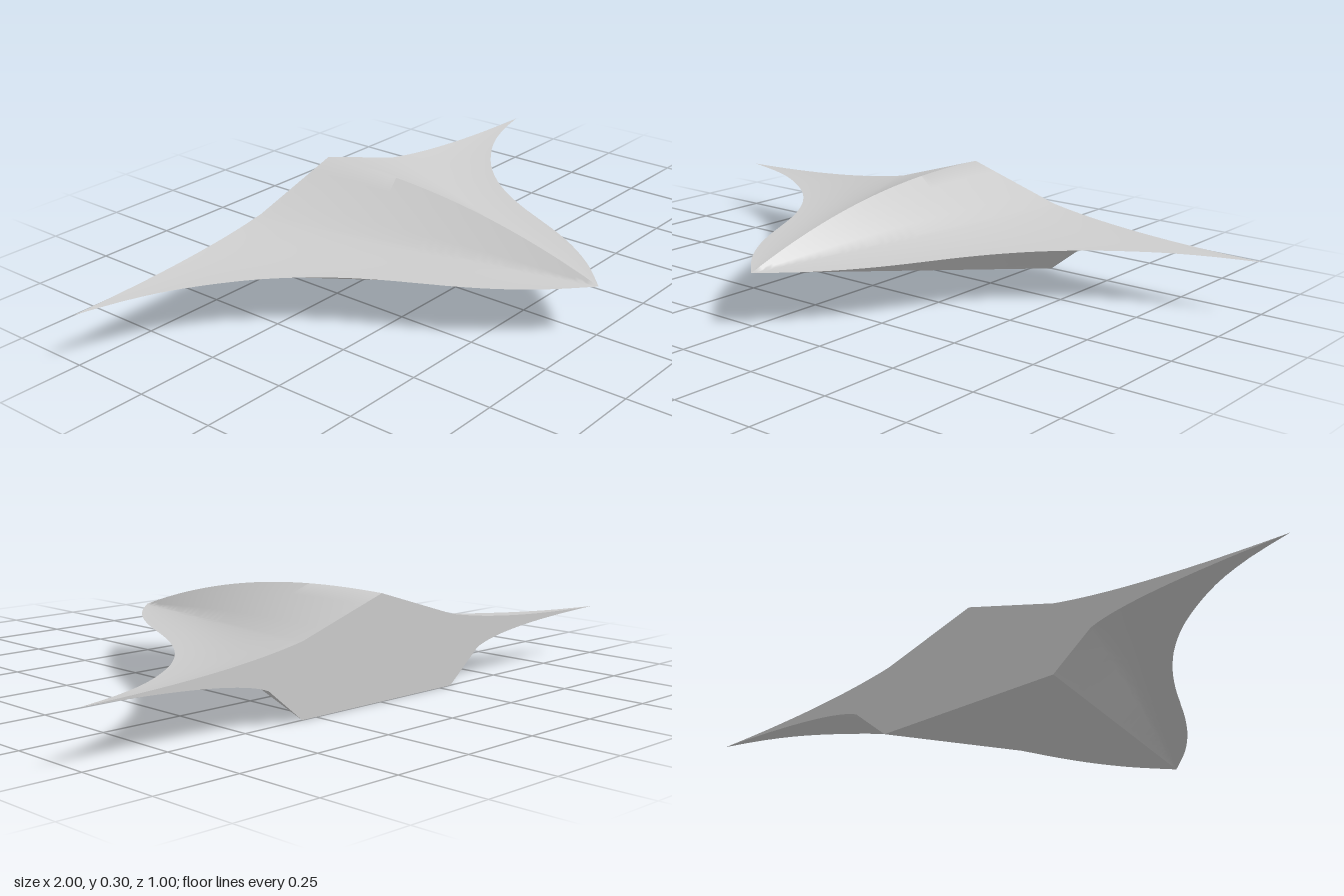
import * as THREE from 'three';
import { toCreasedNormals } from 'three/addons/utils/BufferGeometryUtils.js';

const NOSE_Z = 0.5, MID_Y = 0.15, ROWS = 64, CURVE = 16;

// Half width of the leading edge against distance t from the nose (0) to the tail (1)
const edgeCurve = new THREE.SplineCurve([
  [0, 0], [0.1, 0.1], [0.2, 0.177], [0.3, 0.237], [0.4, 0.287], [0.5, 0.337],
  [0.6, 0.397], [0.7, 0.474], [0.8, 0.578], [0.9, 0.725], [0.96, 0.86], [1, 1],
].map(([t, w]) => new THREE.Vector2(t, w)));
const edgePoints = edgeCurve.getPoints(400);

function halfWidth(t) {
  const i = Math.max(1, edgePoints.findIndex((p) => p.x >= t - 1e-9));
  const a = edgePoints[i - 1], b = edgePoints[i];
  return a.y + (b.y - a.y) * Math.min(1, (t - a.x) / (b.x - a.x));
}

// Concave sweep from a body corner out to the sharp leading edge
function sweep(x, y, t, reach) {
  const w = halfWidth(t);
  return new THREE.QuadraticBezierCurve(
    new THREE.Vector2(x, y),
    new THREE.Vector2(x + (w - x) * reach, y + (MID_Y - y) * 0.86),
    new THREE.Vector2(w, MID_Y),
  ).getPoints(CURVE);
}

// Half cross-sections, listed from the centre outward
function topSection(t) {
  const ridge = MID_Y + 0.15 * (1 - Math.abs(1 - t / 0.9) ** 2.15);
  const shoulder = new THREE.Vector2(0.3 * t, MID_Y + 0.057 * t);
  const centre = new THREE.Vector2(0, ridge);
  const roof = [0, 0.25, 0.5, 0.75].map((k) => centre.clone().lerp(shoulder, k));
  return [...roof, ...sweep(shoulder.x, shoulder.y, t, 0.36)];
}

function flankSection(t) {
  const chine = new THREE.Vector2(0.3 * t, MID_Y - 0.15 * t);
  return [chine, ...sweep(0.42 * t, MID_Y - 0.055 * t, t, 0.2)];
}

function bellySection(t) {
  return [new THREE.Vector2(0, MID_Y - 0.15 * t), new THREE.Vector2(0.3 * t, MID_Y - 0.15 * t)];
}

// Loft a half section from nose to tail on both sides
function loft(section, faceUp, crease) {
  const pos = [], index = [];
  for (const side of [1, -1]) {
    const base = pos.length / 3;
    let n = 0;
    for (let r = 0; r <= ROWS; r++) {
      const t = Math.max(0.0005, (r / ROWS) ** 1.2);
      const pts = section(t);
      n = pts.length;
      for (const p of pts) pos.push(side * p.x, p.y, NOSE_Z - t);
    }
    for (let r = 0; r < ROWS; r++) {
      for (let c = 0; c < n - 1; c++) {
        const a = base + r * n + c, b = a + 1, d = a + n, e = d + 1;
        if ((side > 0) === faceUp) index.push(a, b, d, b, e, d);
        else index.push(a, d, b, b, d, e);
      }
    }
  }
  const geo = new THREE.BufferGeometry();
  geo.setAttribute('position', new THREE.Float32BufferAttribute(pos, 3));
  geo.setIndex(index);
  return toCreasedNormals(geo, crease);
}

export function createModel() {
  const group = new THREE.Group();
  const hullGrey = new THREE.MeshStandardMaterial({ color: 0xcccccc });
  hullGrey.name = 'hull light grey';

  const add = (name, geometry) => {
    const mesh = new THREE.Mesh(geometry, hullGrey);
    mesh.name = name;
    group.add(mesh);
    return mesh;
  };

  // Ridged upper skin, swept lower flanks and flat belly
  add('upperSkin', loft(topSection, true, 0.9));
  add('lowerFlanks', loft(flankSection, false, 0.5));
  add('belly', loft(bellySection, false, 0.5));

  // Flat tail face closing the rear
  const half = [...topSection(1), ...flankSection(1).reverse().slice(1)];
  const mirrored = half.slice(1).reverse().map((p) => new THREE.Vector2(-p.x, p.y));
  const tail = add('tailFace', new THREE.ShapeGeometry(new THREE.Shape([...half, ...mirrored])));
  tail.rotation.y = Math.PI;
  tail.position.z = NOSE_Z - 1;

  return group;
}
